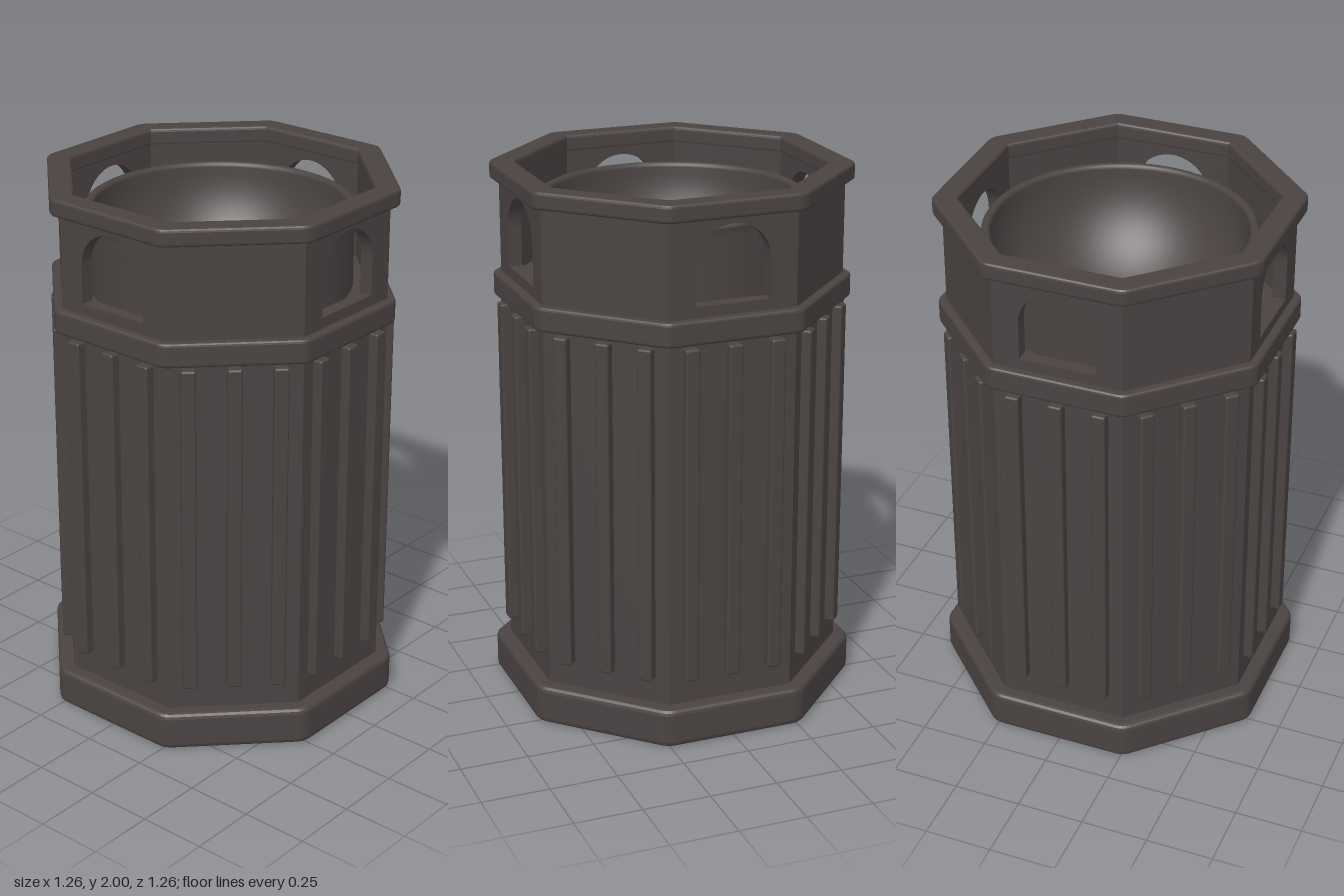
import * as THREE from 'three';
import { RoundedBoxGeometry } from 'three/addons/geometries/RoundedBoxGeometry.js';

const T = Math.tan(Math.PI / 8); // half side of an octagon with apothem 1

// Octagon outline with flat sides on the axes; corners trimmed and rounded by r
function octagon(apothem, r = 0, Type = THREE.Shape) {
  const s = new Type();
  const R = apothem / Math.cos(Math.PI / 8);
  const corner = i => new THREE.Vector2(R * Math.cos((i + 0.5) * Math.PI / 4), R * Math.sin((i + 0.5) * Math.PI / 4));
  const toward = (a, b) => a.clone().add(b.clone().sub(a).setLength(r));
  for (let i = 0; i < 8; i++) {
    const c = corner(i);
    const p = r ? toward(c, corner(i - 1)) : c;
    if (i === 0) s.moveTo(p.x, p.y); else s.lineTo(p.x, p.y);
    if (r) {
      const q = toward(c, corner(i + 1));
      s.quadraticCurveTo(c.x, c.y, q.x, q.y);
    }
  }
  s.closePath();
  return s;
}

// Upright slab between y0 and y1 with rounded edges
function slab(shape, y0, y1, bevel) {
  const g = new THREE.ExtrudeGeometry(shape, {
    depth: y1 - y0 - 2 * bevel, bevelEnabled: bevel > 0, bevelSize: bevel,
    bevelThickness: bevel, bevelSegments: 3, curveSegments: 4,
  });
  return g.rotateX(-Math.PI / 2).translate(0, y0 + bevel, 0);
}

function circleHole(r) {
  return new THREE.Path(new THREE.Path().absarc(0, 0, r, 0, Math.PI * 2, true).getPoints(48));
}

export function createModel() {
  const model = new THREE.Group();
  model.name = 'litterBin';
  const brown = new THREE.MeshStandardMaterial({ color: 0x4a4342 });
  brown.name = 'darkBrown';
  const add = (name, geometry, parent = model) => {
    const m = new THREE.Mesh(geometry, brown);
    m.name = name;
    parent.add(m);
    return m;
  };

  // Base plinth
  add('base', slab(octagon(0.61, 0.025), 0, 0.145, 0.02));

  // Hollow main body
  const body = octagon(0.575);
  body.holes.push(circleHole(0.47));
  add('body', slab(body, 0.1, 1.55, 0));

  // Middle band, open for the liner
  const band = octagon(0.593, 0.02);
  band.holes.push(circleHole(0.482));
  add('middleBand', slab(band, 1.5, 1.59, 0.012));

  // Top rim
  const rim = octagon(0.598, 0.02);
  rim.holes.push(octagon(0.535, 0, THREE.Path));
  add('topRim', slab(rim, 1.935, 2, 0.012));

  // Upper wall panels, every other one with an arched opening, and slats below
  const half = 0.575 * T;
  for (let i = 0; i < 8; i++) {
    const side = new THREE.Group();
    side.name = 'side' + (i + 1);
    side.rotation.y = i * Math.PI / 4;
    model.add(side);

    const panel = new THREE.Shape();
    panel.moveTo(-half, 1.55).lineTo(half, 1.55).lineTo(half, 1.96).lineTo(-half, 1.96).closePath();
    if (i % 2 === 0) {
      const arch = new THREE.Path();
      arch.moveTo(0.14, 1.63).lineTo(-0.14, 1.63).lineTo(-0.14, 1.77);
      arch.absarc(0, 1.77, 0.14, Math.PI, 0, true);
      arch.closePath();
      panel.holes.push(arch);
    }
    const wall = new THREE.ExtrudeGeometry(panel, { depth: 0.05, bevelEnabled: false, curveSegments: 24 });
    add('upperPanel', wall.translate(0, 0, 0.525), side);

    for (const x of [-0.16, 0, 0.16]) {
      const slat = add('slat', new RoundedBoxGeometry(0.052, 1.25, 0.06, 2, 0.008), side);
      slat.position.set(x, 0.865, 0.581);
    }
  }

  // Liner: straight outer wall, rolled lip and a deep round bowl
  const profile = [new THREE.Vector2(0.481, 1.45), new THREE.Vector2(0.481, 1.84)];
  for (let k = 0; k <= 8; k++) {
    const a = k / 8 * Math.PI;
    profile.push(new THREE.Vector2(0.473 + 0.017 * Math.cos(a), 1.868 + 0.017 * Math.sin(a)));
  }
  for (let k = 1; k <= 20; k++) {
    const a = k / 20 * Math.PI / 2;
    profile.push(new THREE.Vector2(k === 20 ? 0 : 0.456 * Math.cos(a), 1.868 - 0.42 * Math.sin(a)));
  }
  add('linerBowl', new THREE.LatheGeometry(profile, 64));

  return model;
}
